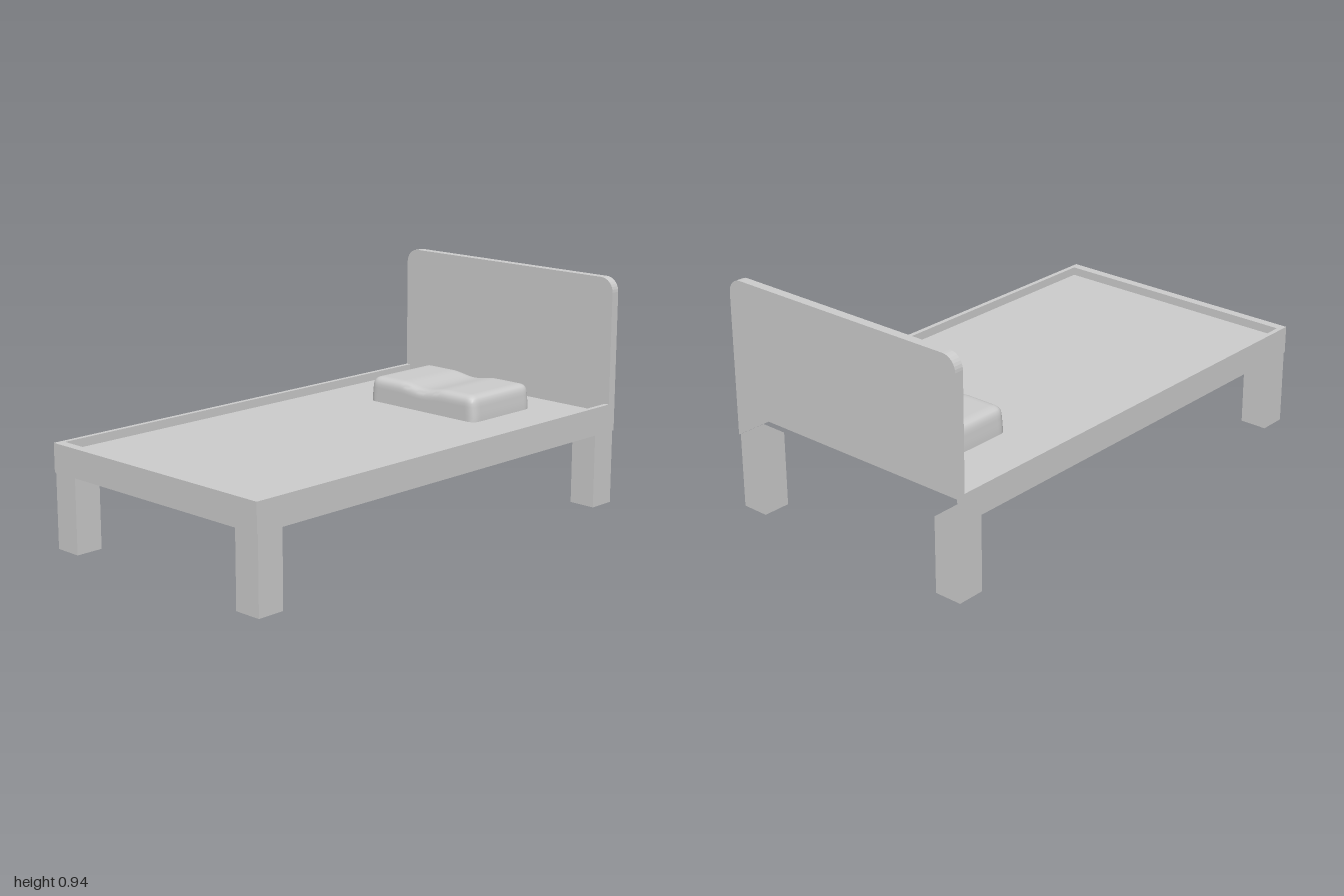
import * as THREE from 'three';
import { mergeVertices, toCreasedNormals } from 'three/addons/utils/BufferGeometryUtils.js';

const HALF_W = 0.56, HALF_L = 1, RAIL_TOP = 0.42, RAIL_BOTTOM = 0.305;
const IN_X = 0.54, IN_Z = 0.962, DECK = 0.385;

const solid = new THREE.MeshStandardMaterial({ color: 0xcccccc });
const sheet = new THREE.MeshStandardMaterial({ color: 0xcccccc, side: THREE.DoubleSide });

function add(parent, name, geometry, material, x = 0, y = 0, z = 0) {
  const mesh = new THREE.Mesh(geometry, material);
  mesh.name = name;
  mesh.position.set(x, y, z);
  parent.add(mesh);
  return mesh;
}

// Upright sheet between two heights, turned about y
function wall(parent, name, width, y0, y1, x, z, turn) {
  add(parent, name, new THREE.PlaneGeometry(width, y1 - y0), sheet, x, (y0 + y1) / 2, z).rotation.y = turn;
}

// Pillow: a box with rounded sides and top, sagging across the middle
function pillowGeometry(w, h, d) {
  const geo = new THREE.BoxGeometry(w, h, d, 38, 7, 24);
  const pos = geo.attributes.position;
  const p = new THREE.Vector3(), core = new THREE.Vector3(), r = 0.032;
  const min = new THREE.Vector3(r - w / 2, -h / 2, r - d / 2);
  const max = new THREE.Vector3(w / 2 - r, h / 2 - r, d / 2 - r);
  for (let i = 0; i < pos.count; i++) {
    p.fromBufferAttribute(pos, i);
    core.copy(p).clamp(min, max);
    p.sub(core);
    const reach = Math.max(Math.abs(p.x), Math.abs(p.y), Math.abs(p.z));
    p.setLength(reach).add(core);
    const lift = THREE.MathUtils.smoothstep(p.y, -h / 2, h / 2);
    const sag = Math.abs(p.x) < 0.13 ? 0.5 + 0.5 * Math.cos((p.x / 0.13) * Math.PI) : 0;
    p.y -= 0.014 * sag * lift;
    p.x *= 1 - 0.03 * lift;
    pos.setXYZ(i, p.x, p.y, p.z);
  }
  geo.deleteAttribute('normal');
  geo.deleteAttribute('uv');
  return toCreasedNormals(mergeVertices(geo), 0.7);
}

export function createModel() {
  const bed = new THREE.Group();
  bed.name = 'bed';

  // Frame: thin outer walls, open underneath and at the head end
  const frame = new THREE.Group();
  frame.name = 'frame';
  bed.add(frame);
  wall(frame, 'footRail', 2 * HALF_W, RAIL_BOTTOM, RAIL_TOP, 0, HALF_L, 0);
  wall(frame, 'footLip', 2 * IN_X, DECK, RAIL_TOP, 0, IN_Z, Math.PI);
  wall(frame, 'headLip', 2 * IN_X, DECK, RAIL_TOP, 0, -IN_Z, 0);
  for (const [side, s] of [['left', 1], ['right', -1]]) {
    wall(frame, side + 'Rail', 2 * HALF_L, RAIL_BOTTOM, RAIL_TOP, s * HALF_W, 0, s * Math.PI / 2);
    wall(frame, side + 'Lip', 2 * IN_Z, DECK, RAIL_TOP, s * IN_X, 0, -s * Math.PI / 2);
  }

  // U-shaped rim on top of the rails
  const rim = new THREE.Shape([
    [-HALF_W, IN_Z], [-HALF_W, -HALF_L], [HALF_W, -HALF_L], [HALF_W, IN_Z],
    [IN_X, IN_Z], [IN_X, -IN_Z], [-IN_X, -IN_Z], [-IN_X, IN_Z],
  ].map(([x, y]) => new THREE.Vector2(x, y)));
  add(frame, 'rim', new THREE.ShapeGeometry(rim), sheet, 0, RAIL_TOP, 0).rotation.x = -Math.PI / 2;

  // Sunken mattress surface
  add(bed, 'mattress', new THREE.PlaneGeometry(2 * IN_X, 2 * IN_Z), sheet, 0, DECK, 0).rotation.x = -Math.PI / 2;

  // Headboard with rounded upper corners
  const top = 0.94, r = 0.058;
  const board = new THREE.Shape();
  board.moveTo(-HALF_W, RAIL_TOP);
  board.lineTo(HALF_W, RAIL_TOP);
  board.lineTo(HALF_W, top - r);
  board.absarc(HALF_W - r, top - r, r, 0, Math.PI / 2);
  board.absarc(r - HALF_W, top - r, r, Math.PI / 2, Math.PI);
  board.closePath();
  add(bed, 'headboard', new THREE.ExtrudeGeometry(board, {
    depth: HALF_L - IN_Z, bevelEnabled: false, curveSegments: 4,
  }), solid, 0, 0, -HALF_L);

  // Four hollow square legs, open at both ends
  const size = 0.115;
  const legGeo = new THREE.CylinderGeometry(size / Math.SQRT2, size / Math.SQRT2, RAIL_BOTTOM, 4, 1, true)
    .rotateY(Math.PI / 4).toNonIndexed();
  legGeo.computeVertexNormals();
  for (const [end, z] of [['front', 0.937], ['back', -0.935]]) {
    for (const [side, s] of [['Left', 1], ['Right', -1]]) {
      add(bed, end + side + 'Leg', legGeo, sheet, s * 0.5015, RAIL_BOTTOM / 2, z);
    }
  }

  // Pillow
  const height = 0.104;
  add(bed, 'pillow', pillowGeometry(0.575, height, 0.36), solid, -0.007, DECK + height / 2, -0.624);

  return bed;
}
